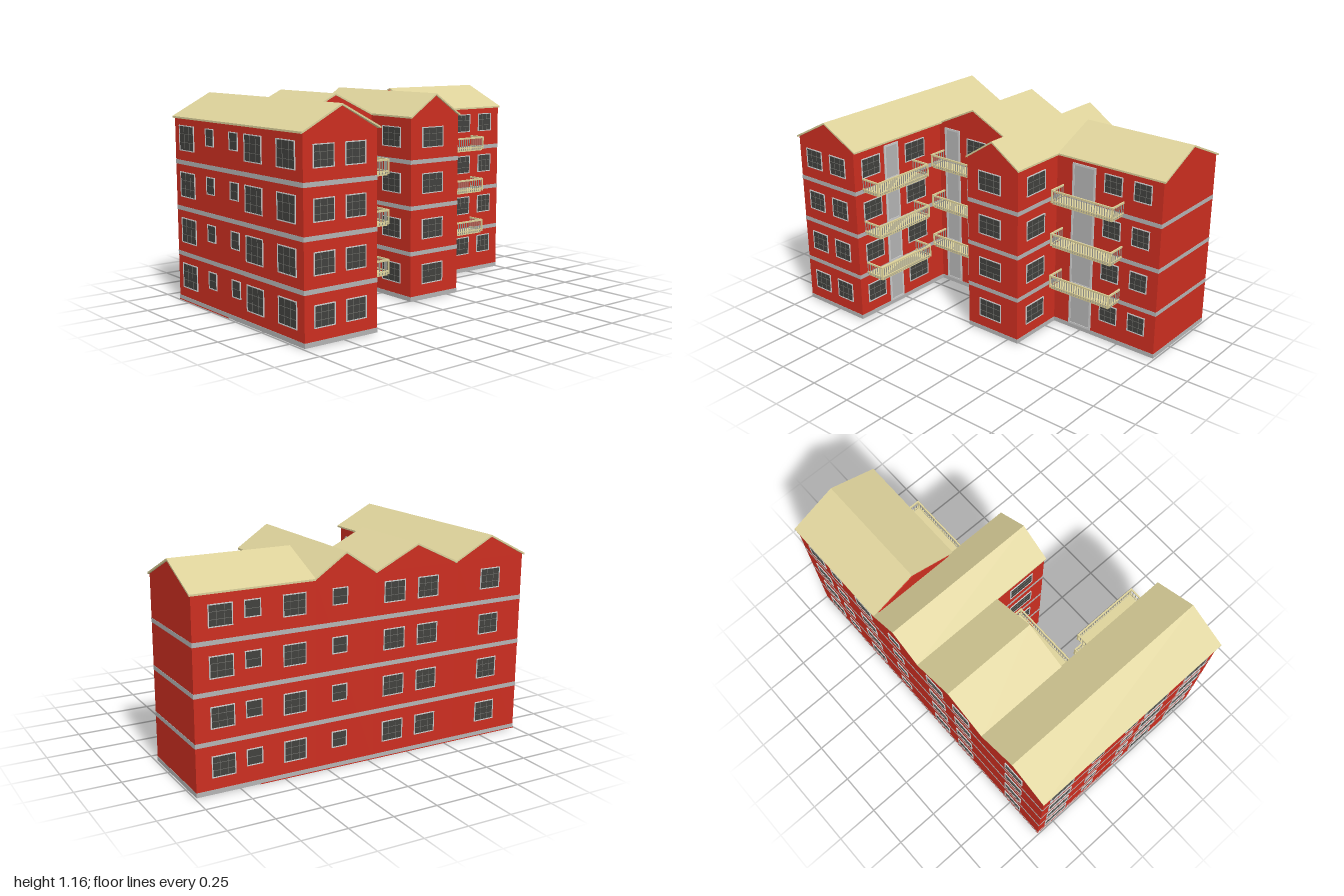
import * as THREE from 'three';

const mat = (color) => new THREE.MeshStandardMaterial({ color, flatShading: true });
const RED = mat(0xcc2e20), GREY = mat(0xb4b4b4), ROOF = mat(0xdcd19a), FRAME = mat(0xd2d2d2);
const GLASS = mat(0x41413e), BAR = mat(0x74746f), DOOR = mat(0xb4b4b4), RAIL = mat(0x9c9c94);

const FLOOR = 0.2567, EAVE = 1.03, RIDGE = 1.148;

function mesh(name, geo, material, parent) {
  const m = new THREE.Mesh(geo, material);
  m.name = name;
  parent.add(m);
  return m;
}

// Box given by its min and max corners
function box(name, x0, x1, y0, y1, z0, z1, material, parent) {
  const m = mesh(name, new THREE.BoxGeometry(x1 - x0, y1 - y0, z1 - z0), material, parent);
  m.position.set((x0 + x1) / 2, (y0 + y1) / 2, (z0 + z1) / 2);
  return m;
}

// Extrude a profile along x (profile runs across z) or along z (profile runs across x)
function prism(points, start, end, alongX) {
  const shape = new THREE.Shape(points.map(([u, y]) => new THREE.Vector2(alongX ? -u : u, y)));
  const geo = new THREE.ExtrudeGeometry(shape, { depth: end - start, bevelEnabled: false });
  geo.translate(0, 0, start);
  if (alongX) geo.rotateY(Math.PI / 2);
  return geo;
}

// House block: gabled walls, floor bands and a thin overhanging roof
function houseBlock({ name, x0, x1, z0, z1, alongX, roof }) {
  const g = new THREE.Group();
  g.name = name;
  const [a, b, s, e] = alongX ? [z0, z1, x0, x1] : [x0, x1, z0, z1];
  const mid = (roof[0] + roof[1]) / 2;
  mesh('walls', prism([[a, 0.004], [b, 0.004], [b, EAVE], [mid, RIDGE], [a, EAVE]], s, e, alongX), RED, g);
  const o = 0.0015;
  for (let i = 0; i < 4; i++) {
    const y = i * FLOOR + 0.003;
    box('floorBand', x0 - o, x1 + o, i ? y : 0.002, y + 0.024, z0 - o, z1 + o, GREY, g);
  }
  const [r0, r1] = roof, t = 0.01;
  const sheet = [[r0, EAVE - 0.004], [mid, RIDGE], [r1, EAVE - 0.004], [r1, EAVE + t - 0.004], [mid, RIDGE + t], [r0, EAVE + t - 0.004]];
  mesh('roof', prism(sheet, roof[2], roof[3], alongX), ROOF, g);
  return g;
}

function frameGeometry(w, h, t, depth) {
  const rect = (p, a, b) => p.moveTo(-a, -b).lineTo(a, -b).lineTo(a, b).lineTo(-a, b).closePath();
  const shape = rect(new THREE.Shape(), w / 2, h / 2);
  shape.holes.push(rect(new THREE.Path(), w / 2 - t, h / 2 - t));
  return new THREE.ExtrudeGeometry(shape, { depth, bevelEnabled: false });
}

// Window with frame and glazing bars, origin at its bottom centre
function makeWindow(w, h, cols, rows) {
  const g = new THREE.Group();
  g.name = 'window';
  mesh('windowFrame', frameGeometry(w, h, 0.005, 0.005), FRAME, g).position.y = h / 2;
  box('glass', -w / 2 + 0.003, w / 2 - 0.003, 0.003, h - 0.003, -0.003, 0.002, GLASS, g);
  for (let i = 1; i < cols; i++) {
    const x = -w / 2 + (w * i) / cols;
    box('glazingBar', x - 0.001, x + 0.001, 0.004, h - 0.004, 0, 0.0035, BAR, g);
  }
  for (let i = 1; i < rows; i++) {
    const y = (h * i) / rows;
    box('glazingBar', -w / 2 + 0.004, w / 2 - 0.004, y - 0.001, y + 0.001, 0, 0.0035, BAR, g);
  }
  return g;
}

function makeDoor(w, h) {
  const g = new THREE.Group();
  g.name = 'door';
  mesh('doorFrame', frameGeometry(w, h, 0.012, 0.006), FRAME, g).position.y = h / 2;
  box('doorLeaf', -w / 2 + 0.005, w / 2 - 0.005, 0.003, h - 0.005, -0.003, 0.003, DOOR, g);
  return g;
}

// Balcony projecting along local +z, origin at slab underside on the wall
function makeBalcony(w, d) {
  const g = new THREE.Group();
  g.name = 'balcony';
  const a = w / 2, t = 0.008;
  box('slab', -a + 0.008, a - 0.008, 0, 0.014, 0, d - 0.008, ROOF, g);
  for (const [y, h] of [[0.019, 0.006], [0.075, 0.01]]) {
    box('frontRail', -a, a, y, y + h, d - t, d, ROOF, g);
    for (const s of [-1, 1]) box('sideRail', s * (a - t / 2) - t / 2, s * (a - t / 2) + t / 2, y, y + h, 0, d - t, ROOF, g);
  }
  const post = (x, z, r, m) => box('baluster', x - r, x + r, 0.008, 0.078, z - r, z + r, m, g);
  const n = 24, k = 6;
  for (let i = 0; i <= n; i++) {
    const end = i === 0 || i === n;
    post((-a + t / 2) + ((w - t) * i) / n, d - t / 2, end ? 0.004 : 0.0018, end ? ROOF : RAIL);
  }
  for (let i = 0; i < k; i++) for (const s of [-1, 1]) post(s * (a - t / 2), 0.004 + ((d - t) * i) / k, 0.0018, RAIL);
  return g;
}

// Place a part on a wall facing front, back, left (+x) or right (-x)
const TURN = { front: 0, back: Math.PI, left: Math.PI / 2, right: -Math.PI / 2 };
function place(part, wall, at, u, y, parent) {
  const alongZ = wall === 'left' || wall === 'right';
  part.position.set(alongZ ? at : u, y, alongZ ? u : at);
  part.rotation.y = TURN[wall];
  parent.add(part);
}

export function createModel() {
  const model = new THREE.Group();
  model.name = 'apartmentBuilding';

  const W = -0.615, IN = -0.08, E = 0.615, MID = 0.265;
  const blocks = [
    { name: 'frontBlock', x0: W, x1: E, z0: 0.55, z1: 0.99, alongX: true, roof: [0.53, 1, -0.625, 0.625] },
    { name: 'courtBlock', x0: W, x1: IN, z0: 0.03, z1: 0.55, alongX: true, roof: [0.03, 0.54, -0.625, -0.075] },
    { name: 'middleBlock', x0: W, x1: MID, z0: -0.32, z1: 0.03, alongX: true, roof: [-0.33, 0.035, -0.625, 0.275] },
    { name: 'rearBlock', x0: W, x1: IN, z0: -0.99, z1: -0.32, alongX: false, roof: [-0.625, -0.075, -1, -0.325] },
  ];
  blocks.forEach((b) => model.add(houseBlock(b)));

  // Ground plates
  box('groundPlate', W - 0.002, IN - 0.005, 0, 0.005, -0.64, 0.993, RED, model);
  box('groundPlate', IN - 0.005, E - 0.005, 0, 0.004, 0.555, 0.985, RED, model);

  // Windows: wall, wall position, from, to, bottom, height, columns, rows
  const windows = [
    ...[[-0.565, -0.405], [0.105, 0.265], [0.395, 0.555]].map(([p, q]) => ['front', 0.99, p, q, 0.08, 0.14, 3, 3]),
    ...[[-0.28, -0.195], [-0.04, 0.045]].map(([p, q]) => ['front', 0.99, p, q, 0.125, 0.095, 1, 2]),
    ['left', E, 0.81, 0.935, 0.09, 0.115, 3, 3],
    ['left', E, 0.62, 0.745, 0.09, 0.115, 3, 3],
    ['left', IN, 0.19, 0.335, 0.09, 0.115, 3, 3],
    ['left', MID, -0.205, -0.05, 0.09, 0.115, 3, 3],
    ['left', IN, -0.745, -0.63, 0.115, 0.11, 3, 3],
    ['left', IN, -0.925, -0.815, 0.115, 0.11, 3, 3],
    ['back', 0.55, 0.42, 0.56, 0.09, 0.115, 3, 3],
    ['back', 0.55, 0.06, 0.22, 0.09, 0.115, 3, 3],
    ['back', -0.32, 0.03, 0.19, 0.09, 0.115, 3, 3],
    ['front', 0.03, 0.02, 0.18, 0.09, 0.115, 3, 3],
    ...[-0.84, -0.44, 0.15, 0.36, 0.77].map((c) => ['right', W, c - 0.065, c + 0.065, 0.09, 0.115, 3, 3]),
    ...[-0.67, -0.18].map((c) => ['right', W, c - 0.045, c + 0.045, 0.115, 0.09, 1, 2]),
  ];
  // Doors: wall, wall position, from, to
  const doors = [['left', IN, 0.39, 0.505], ['left', IN, -0.575, -0.425], ['back', 0.55, 0.275, 0.385]];
  // Balconies: wall, wall position, from, to, depth
  const balconies = [
    ['left', IN, 0.11, 0.525, 0.11],
    ['left', IN, -0.76, -0.36, 0.11],
    ['back', 0.55, 0.155, 0.56, 0.125],
  ];

  for (let i = 0; i < 4; i++) {
    const y = i * FLOOR;
    for (const [wall, at, p, q, y0, h, cols, rows] of windows) place(makeWindow(q - p, h, cols, rows), wall, at, (p + q) / 2, y + y0, model);
    for (const [wall, at, p, q] of doors) place(makeDoor(q - p, 0.21), wall, at, (p + q) / 2, y + 0.027, model);
    if (i > 0) for (const [wall, at, p, q, d] of balconies) place(makeBalcony(q - p, d), wall, at, (p + q) / 2, y + 0.009, model);
  }
  return model;
}
